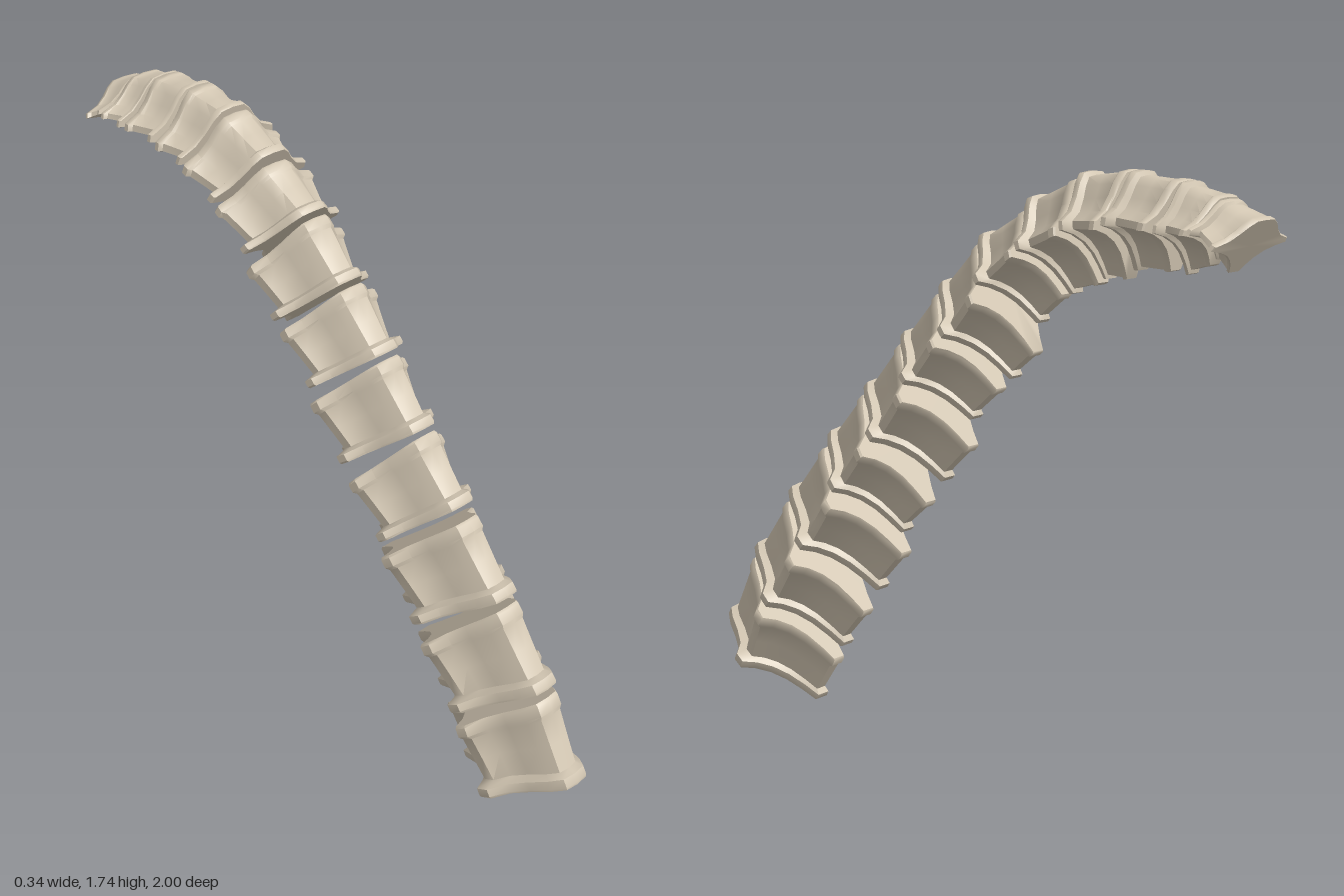
import * as THREE from 'three';
import { toCreasedNormals } from 'three/addons/utils/BufferGeometryUtils.js';

// Half outline of a segment: x offset, and t from the front ridge (0) to the rear keel (1)
const halfOutline = [
  [0, 0], [0.04, 0.015], [0.065, 0.1], [0.09, 0.23], [0.12, 0.35], [0.165, 0.43],
  [0.17, 0.51], [0.125, 0.56], [0.085, 0.64], [0.055, 0.75], [0.035, 0.88], [0.022, 1],
];
const outline = [
  ...halfOutline,
  ...halfOutline.slice(1).reverse().map(([x, t]) => [-x, t]),
];

// Rings up a segment: height, width scale, depth scale (flared rims, narrow neck)
const rings = [
  [0, 0.97, 0.98], [0.03, 1, 1], [0.13, 1, 1], [0.18, 0.79, 0.92],
  [0.5, 0.86, 0.94], [0.8, 0.93, 0.96], [0.85, 1, 1], [0.97, 1, 1], [1, 0.97, 0.98],
];

// Each segment: ridge z, y and keel z, y at its lower end, then at its upper end
const segments = [
  [1.0, 0.22, 0.59, 0.01, 0.86, 0.45, 0.5, 0.17],
  [0.86, 0.48, 0.47, 0.22, 0.69, 0.67, 0.365, 0.36],
  [0.69, 0.70, 0.31, 0.44, 0.52, 0.87, 0.2, 0.58],
  [0.505, 0.91, 0.205, 0.645, 0.345, 1.06, 0.1, 0.755],
  [0.345, 1.08, 0.04, 0.83, 0.19, 1.23, -0.067, 0.95],
  [0.19, 1.25, -0.07, 1.03, 0.04, 1.39, -0.17, 1.13],
  [0.04, 1.41, -0.215, 1.165, -0.11, 1.54, -0.3, 1.25],
  [-0.11, 1.56, -0.31, 1.33, -0.28, 1.64, -0.395, 1.415],
  [-0.28, 1.67, -0.42, 1.42, -0.45, 1.73, -0.515, 1.455],
  [-0.455, 1.745, -0.53, 1.47, -0.61, 1.755, -0.605, 1.475],
  [-0.62, 1.755, -0.625, 1.5, -0.77, 1.735, -0.74, 1.505],
  [-0.775, 1.735, -0.785, 1.5, -0.89, 1.7, -0.855, 1.53],
  [-0.89, 1.695, -0.87, 1.55, -1.0, 1.65, -0.91, 1.515],
];

function segmentGeometry([fz0, fy0, rz0, ry0, fz1, fy1, rz1, ry1]) {
  const lerp = THREE.MathUtils.lerp;
  const positions = [];
  const index = [];
  const n = outline.length;

  // Point on the section at height s, with t running from ridge to keel
  const place = (s, x, t) => positions.push(
    x,
    lerp(lerp(fy0, fy1, s), lerp(ry0, ry1, s), t),
    lerp(lerp(fz0, fz1, s), lerp(rz0, rz1, s), t),
  );

  for (const [s, width, depth] of rings) {
    for (const [x, t] of outline) place(s, x * width, 0.5 + (t - 0.5) * depth);
  }
  const bottom = positions.length / 3;
  place(0, 0, 0.5);
  place(1, 0, 0.5);
  const last = (rings.length - 1) * n;

  for (let j = 0; j < n; j++) {
    const k = (j + 1) % n;
    for (let a = 0; a < last; a += n) {
      index.push(a + j, a + k, a + n + k, a + j, a + n + k, a + n + j);
    }
    // End caps
    index.push(bottom, k, j, bottom + 1, last + j, last + k);
  }

  const geometry = new THREE.BufferGeometry();
  geometry.setAttribute('position', new THREE.Float32BufferAttribute(positions, 3));
  geometry.setIndex(index);
  return toCreasedNormals(geometry, 0.7);
}

export function createModel() {
  const model = new THREE.Group();
  model.name = 'curvedSpine';
  const bone = new THREE.MeshStandardMaterial({ color: 0xd2c6b2 });

  // Chain of flared segments from the base to the drooping tip
  segments.forEach((segment, i) => {
    const mesh = new THREE.Mesh(segmentGeometry(segment), bone);
    mesh.name = `spineSegment${i + 1}`;
    model.add(mesh);
  });
  return model;
}
